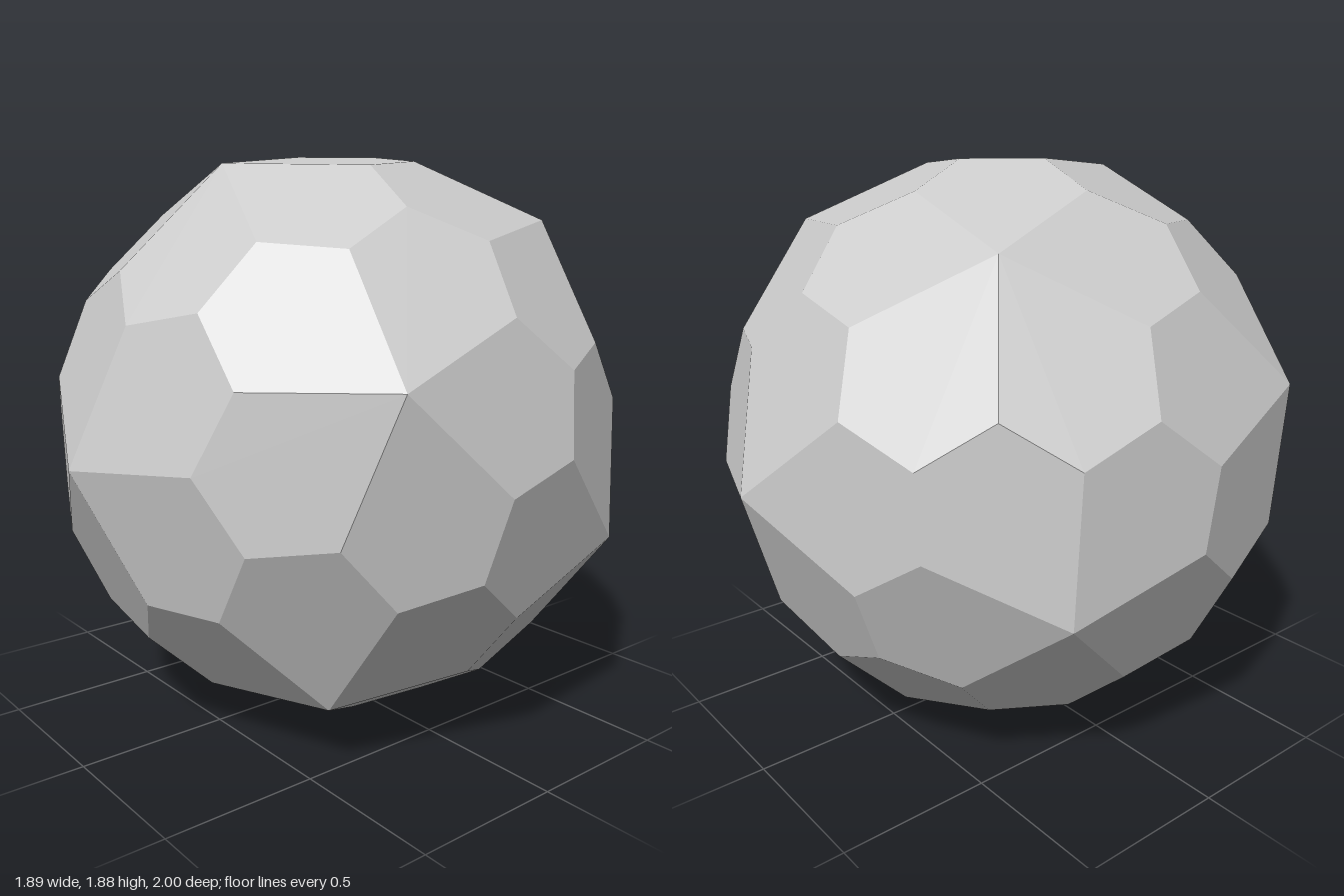
import * as THREE from 'three';

// Pentagonal hexecontahedron: 60 equal five-sided facets, twisted around 12 raised points.
const AXIAL = 0.84922, RADIAL = 0.43402; // position of a corner next to a raised point
const TWIST = THREE.MathUtils.degToRad(13.14);
const CORNER_RADIUS = 0.9537; // corners where three facets meet

// The 12 raised points: front and back poles and two rings of five
function raisedPoints() {
  const points = [];
  for (const s of [1, -1]) {
    points.push(new THREE.Vector3(0, 0, s));
    for (let k = 0; k < 5; k++) {
      const a = s * Math.PI / 2 + k * Math.PI * 2 / 5;
      points.push(new THREE.Vector3(2 * Math.cos(a), 2 * Math.sin(a), s).divideScalar(Math.sqrt(5)));
    }
  }
  return points;
}

// Corner beside raised point v, turned clockwise from the direction of its neighbour w
function corner(v, w) {
  const u = w.clone().addScaledVector(v, -w.dot(v)).normalize();
  const side = u.clone().cross(v);
  return v.clone().multiplyScalar(AXIAL)
    .addScaledVector(u, RADIAL * Math.cos(TWIST))
    .addScaledVector(side, RADIAL * Math.sin(TWIST));
}

export function createModel() {
  const points = raisedPoints();
  const near = (a, b) => Math.abs(a.dot(b) - 1 / Math.sqrt(5)) < 0.01;
  const positions = [];

  // One facet for each raised point and pair of consecutive neighbours
  for (const v of points) {
    const ring = points.filter(p => near(v, p));
    for (const w of ring) {
      const x = ring.find(p => near(w, p) && v.clone().cross(w).dot(p) > 0);
      const middle = v.clone().add(w).add(x).setLength(CORNER_RADIUS);
      const facet = [v, corner(v, w), corner(w, v), middle, corner(v, x)];
      for (let i = 1; i < 4; i++) {
        for (const p of [facet[0], facet[i], facet[i + 1]]) positions.push(p.x, p.y, p.z);
      }
    }
  }

  const geometry = new THREE.BufferGeometry();
  geometry.setAttribute('position', new THREE.Float32BufferAttribute(positions, 3));
  geometry.computeBoundingBox();
  geometry.translate(0, -geometry.boundingBox.min.y, 0);
  geometry.computeVertexNormals();

  const ball = new THREE.Mesh(geometry, new THREE.MeshStandardMaterial({ color: 0xcccccc, flatShading: true }));
  ball.name = 'facetedBall';
  const group = new THREE.Group();
  group.name = 'pentagonalPolyhedron';
  group.add(ball);
  return group;
}
